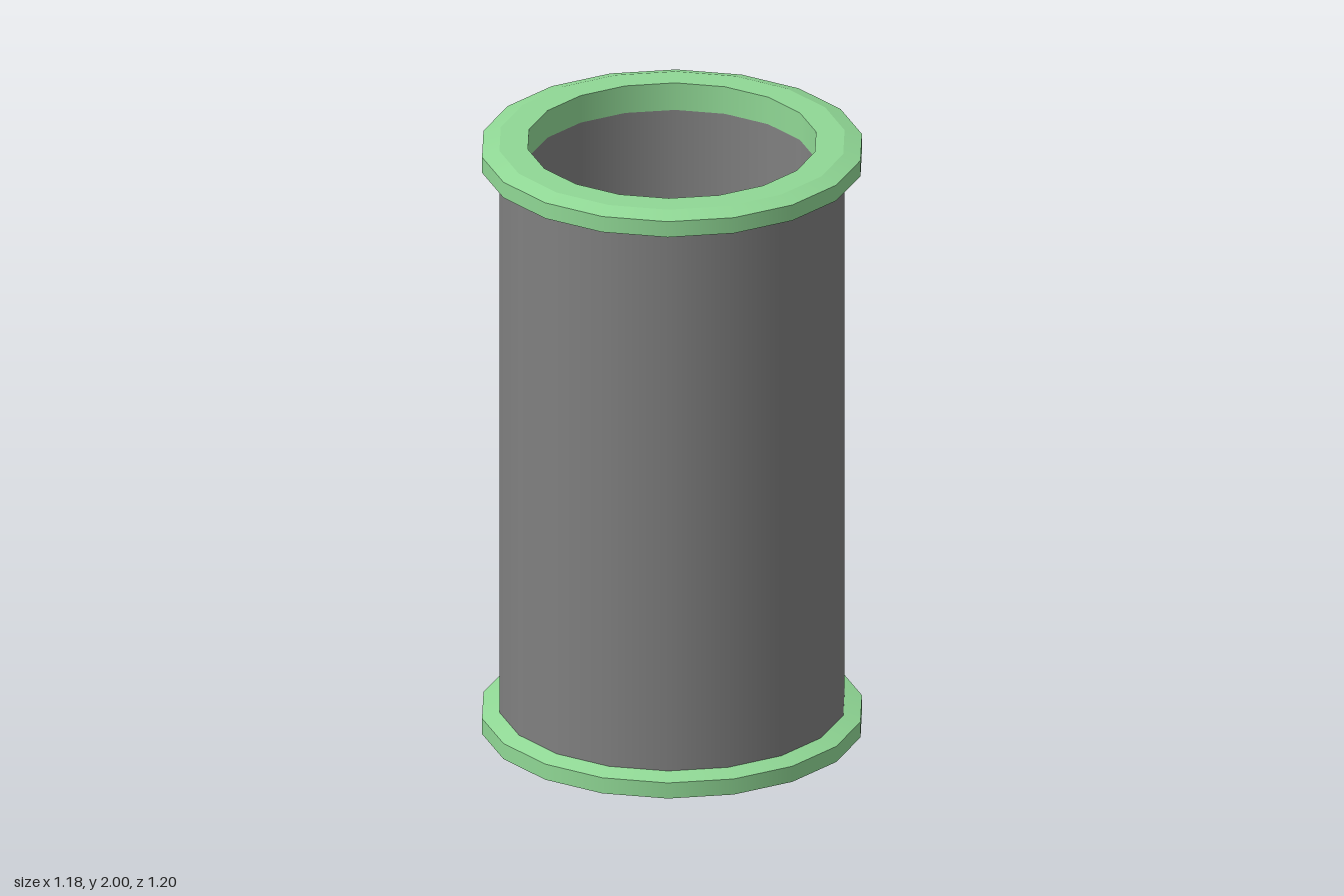
import * as THREE from 'three';
import { mergeGeometries } from 'three/addons/utils/BufferGeometryUtils.js';

const SIDES = 18;
const INNER = 0.455, WALL = 0.545, RIM = 0.6;
const RING_HEIGHT = 0.092, HEIGHT = 2;

// Revolve each profile segment separately: smooth around, sharp between bands
function revolve(profile) {
  const bands = [];
  for (let i = 0; i < profile.length - 1; i++) {
    const pair = [profile[i], profile[i + 1]].map(([r, y]) => new THREE.Vector2(r, y));
    bands.push(new THREE.LatheGeometry(pair, SIDES));
  }
  return mergeGeometries(bands);
}

export function createModel() {
  const model = new THREE.Group();
  model.name = 'pipe';
  const grey = new THREE.MeshStandardMaterial({ color: 0x808080 });
  const green = new THREE.MeshStandardMaterial({ color: 0x90d895 });

  function add(name, geometry, material, y = 0) {
    const mesh = new THREE.Mesh(geometry, material);
    mesh.name = name;
    mesh.position.y = y;
    model.add(mesh);
  }

  // Hollow tube between the end rings
  const low = RING_HEIGHT, high = HEIGHT - RING_HEIGHT;
  add('outerWall', revolve([[WALL, low], [WALL, high]]), grey);
  add('innerWall', revolve([[INNER, high], [INNER, low]]), grey);

  // Bevelled end rings, flush with the bore
  const ring = revolve([
    [INNER, 0], [WALL, 0], [RIM, 0.022], [RIM, 0.075],
    [WALL, RING_HEIGHT], [INNER, RING_HEIGHT], [INNER, 0],
  ]);
  add('bottomRing', ring, green);
  add('topRing', ring, green, high);

  return model;
}
